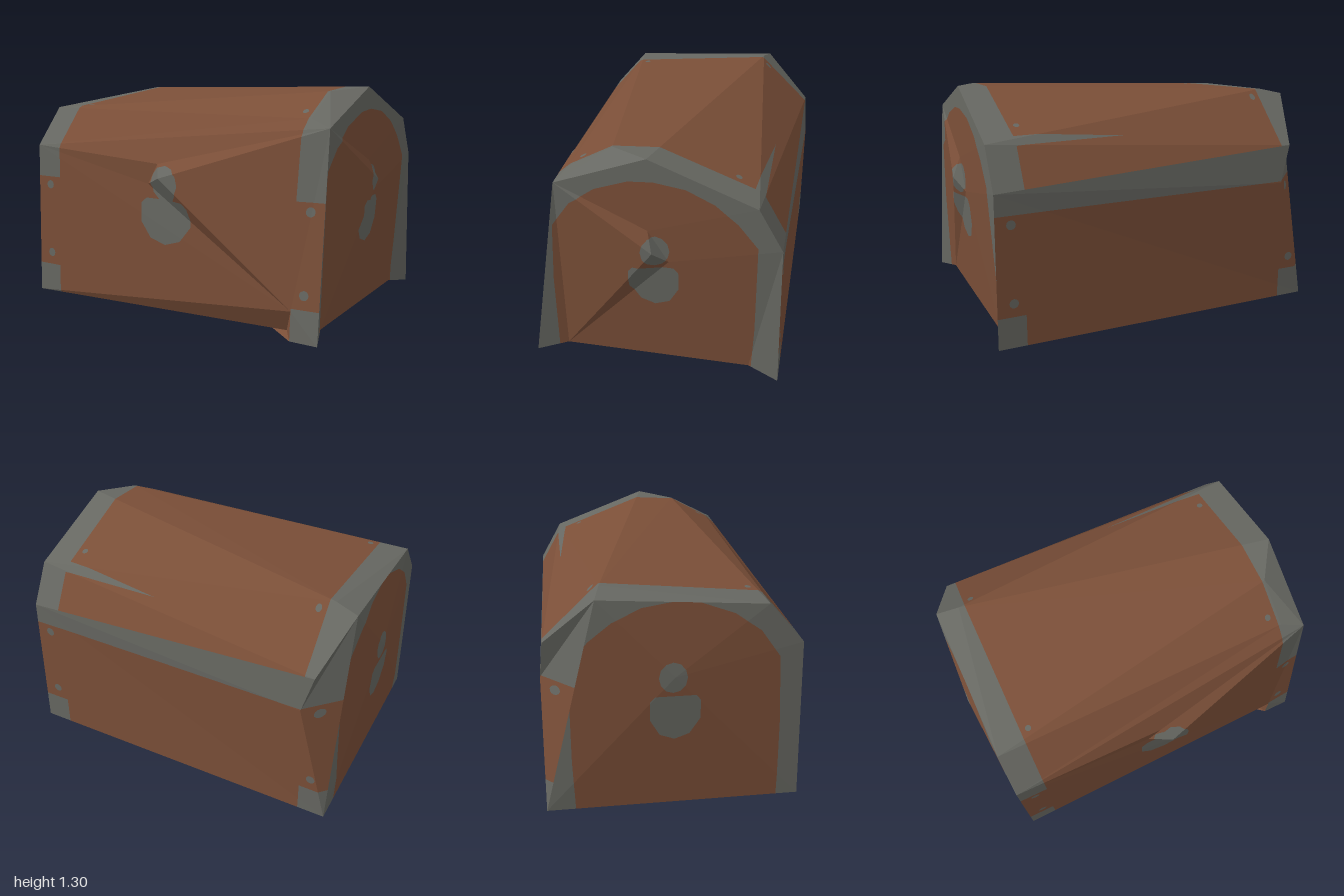
import * as THREE from 'three';

const wood = new THREE.MeshStandardMaterial({ color: 0x7b4f38 });
wood.name = 'brownWood';
const metal = new THREE.MeshStandardMaterial({ color: 0x676862 });
metal.name = 'greyMetal';

// Corners of the faceted chest
const P = {
  // feet and base
  footBL: [-0.96, 0, -0.72], footBR: [0.96, 0, -0.72], footFL: [-0.96, 0, 0.67], footFR: [0.96, 0, 0.67],
  footIn: [0.8, 0, 0.67], footTop: [0.8, 0.16, 0.66], notch: [0.75, 0.03, 0.6],
  sillF: [0.9, 0.03, 0.5], sillB: [0.9, 0.03, -0.55],
  // lid rim at -x
  rimA: [-0.95, 0.92, 0.65], rimB: [-0.95, 1.14, 0.46], rimC: [-0.95, 1.2, -0.43],
  rimD: [-0.82, 1.23, -0.4], rimE: [-0.84, 0.94, -0.7], rimF: [-0.78, 0.72, -0.72],
  // lid rim at +x
  archA: [0.93, 1.11, 0.5], archB: [0.8, 1.15, 0.45], archC: [0.8, 1.28, 0.21],
  archD: [0.94, 1.3, 0], archE: [0.95, 1.08, -0.57], archF: [0.95, 0.85, -0.7],
  // latch and handles
  latch: [0, 0.8, 0.72], latchTop: [-0.05, 0.87, 0.65], latchSide: [-0.12, 0.75, 0.645],
  grip: [1, 0.78, -0.03], gripTop: [0.95, 0.89, 0], gripSide: [0.95, 0.71, -0.11],
  gripLeft: [-1, 0.78, -0.03],
};

// Inlay outlines: convex 2D polygons
const rect = (x0, y0, x1, y1) => [[x0, y0], [x1, y0], [x1, y1], [x0, y1]];
const disc = (x, y, rx, ry = rx, n = 12) => Array.from({ length: n }, (_, i) => {
  const a = (i / n) * Math.PI * 2;
  return [x + rx * Math.cos(a), y + ry * Math.sin(a)];
});
const plate = (x, s) => [[-0.165, 0.64], [-0.13, 0.67], [0.14, 0.67], [0.172, 0.64], [0.172, 0.53],
  [0.1, 0.44], [0, 0.41], [-0.1, 0.44], [-0.165, 0.53]].map(([u, v]) => [x + u * s, v]);

// Cut a polygon by the line a-b; returns [left side, right side]
function cut(poly, a, b, [u, v]) {
  const side = p => (b[0] - a[0]) * (p[v] - a[1]) - (b[1] - a[1]) * (p[u] - a[0]);
  const left = [], right = [];
  poly.forEach((p, i) => {
    const q = poly[(i + 1) % poly.length], s = side(p), t = side(q);
    if (s >= 0) left.push(p);
    if (s <= 0) right.push(p);
    if (s * t < 0) {
      const m = p.map((c, k) => c + (q[k] - c) * s / (s - t));
      left.push(m);
      right.push(m);
    }
  });
  return [left, right];
}

// Recolour the area of each piece that lies within an outline
function inlay(pieces, outline, axes, material) {
  const area = outline.reduce((s, p, i) => {
    const q = outline[(i + 1) % outline.length];
    return s + p[0] * q[1] - p[1] * q[0];
  }, 0);
  const shape = area < 0 ? [...outline].reverse() : outline;
  const result = [];
  for (const piece of pieces) {
    let inside = piece.poly;
    const rest = [];
    shape.forEach((a, i) => {
      if (inside.length < 3) return;
      const [l, r] = cut(inside, a, shape[(i + 1) % shape.length], axes);
      if (r.length > 2) rest.push({ poly: r, material: piece.material });
      inside = l;
    });
    if (inside.length > 2) result.push(...rest, { poly: inside, material });
    else result.push(piece);
  }
  return result;
}

// One side of the chest: facets by corner names, then inlays in order
function panel(name, facets, base, axes, inlays) {
  let pieces = facets.map(f => ({ poly: f.split(' ').map(k => P[k]), material: base }));
  for (const [material, outline] of inlays) pieces = inlay(pieces, outline, axes, material);
  const group = new THREE.Group();
  group.name = name;
  for (const material of [wood, metal]) {
    const pos = [];
    for (const { poly } of pieces.filter(p => p.material === material))
      for (let i = 1; i < poly.length - 1; i++) pos.push(...poly[0], ...poly[i], ...poly[i + 1]);
    if (!pos.length) continue;
    const geo = new THREE.BufferGeometry();
    geo.setAttribute('position', new THREE.Float32BufferAttribute(pos, 3));
    geo.computeVertexNormals();
    const mesh = new THREE.Mesh(geo, material);
    mesh.name = name + (material === wood ? 'Wood' : 'Metal');
    group.add(mesh);
  }
  return group;
}

export function createModel() {
  const chest = new THREE.Group();
  chest.name = 'chest';
  const XY = [0, 1], ZY = [2, 1], XZ = [0, 2];

  // Corner brackets and rivets shared by front and back
  const brackets = [];
  for (const s of [-1, 1]) {
    brackets.push([metal, rect(s * 0.785, 0.73, s * 1.1, 1.5)], [metal, rect(s * 0.8, -0.1, s * 1.1, 0.175)]);
    for (const y of [0.25, 0.68]) brackets.push([metal, disc(s * 0.865, y, 0.026)]);
  }

  chest.add(panel('front', [
    'footFL notch footTop', 'footFL footTop rimA', 'rimA footTop latchSide', 'latchSide footTop latch',
    'latch footTop archA', 'footTop footFR archA', 'footIn footFR footTop', 'notch footIn footTop',
    'rimA latchSide latchTop', 'latchSide latch latchTop', 'latchTop latch archA', 'rimA latchTop archA',
    'rimA archA archB', 'rimA archB rimB',
  ], wood, XY, [...brackets, [metal, plate(0, 1)], [metal, disc(0.01, 0.76, 0.105)]]));

  // Lid with end straps, rivets and a sliver of trim
  const straps = [-1, 1].flatMap(s => [
    [metal, rect(s * 0.785, -1, s * 1.1, 1)],
    ...[-0.44, 0.39].map(z => [metal, disc(s * 0.74, z, 0.017)]),
  ]);
  chest.add(panel('lid', [
    'archB archA archC', 'archA archD archC', 'rimB archB archC', 'rimB archC rimD', 'archC archD rimD',
    'rimB rimD rimC', 'rimD archD archE', 'rimD archE rimE', 'rimC rimD rimE', 'rimE archE archF',
  ], wood, XZ, [...straps, [metal, [[0.18, -0.58], [0.79, -0.585], [0.79, -0.53]]]]));

  chest.add(panel('back', [
    'rimF rimE archF', 'rimC rimE rimF', 'rimC rimF footBL', 'footBL rimF archF', 'footBL archF footBR',
  ], wood, XY, [...brackets, [metal, rect(-0.8, 0.73, 0.8, 0.95)]]));

  // Ends: metal border around an arched wooden panel with a handle plate
  const arch = [[0.55, -0.1], [0.545, 0.5], [0.525, 0.85], [0.42, 1], [0.28, 1.1], [0.1, 1.165], [-0.03, 1.175],
    [-0.2, 1.15], [-0.35, 1.08], [-0.47, 0.98], [-0.575, 0.85], [-0.575, 0.3], [-0.56, -0.1]];
  const endInlays = [[wood, arch], [metal, plate(-0.03, 0.79)], [metal, disc(-0.04, 0.775, 0.075, 0.085)]];
  chest.add(panel('leftEnd', [
    'footFR sillF archA', 'sillF grip archA', 'sillF gripSide grip', 'grip gripTop archA', 'grip gripSide gripTop',
    'archA gripTop archD', 'gripSide sillF sillB', 'gripSide sillB archF', 'sillB footBR archF',
    'gripSide archF archE', 'gripTop gripSide archE', 'gripTop archE archD',
  ], metal, ZY, endInlays));
  const ring = ['footBL', 'footFL', 'rimA', 'rimB', 'rimC'];
  chest.add(panel('rightEnd', ring.map((k, i) => `gripLeft ${k} ${ring[(i + 1) % ring.length]}`),
    metal, ZY, endInlays));

  // Underside with metal corner caps
  const caps = [-0.96, 0.96].flatMap(x => [-0.72, 0.67].map(z => [metal, disc(x, z, 0.14)]));
  chest.add(panel('base', [
    'footBL footBR sillB', 'footBL sillB sillF', 'footBL sillF footFR', 'footBL footFR footIn',
    'footBL footIn notch', 'footBL notch footFL',
  ], wood, XZ, caps));

  return chest;
}
